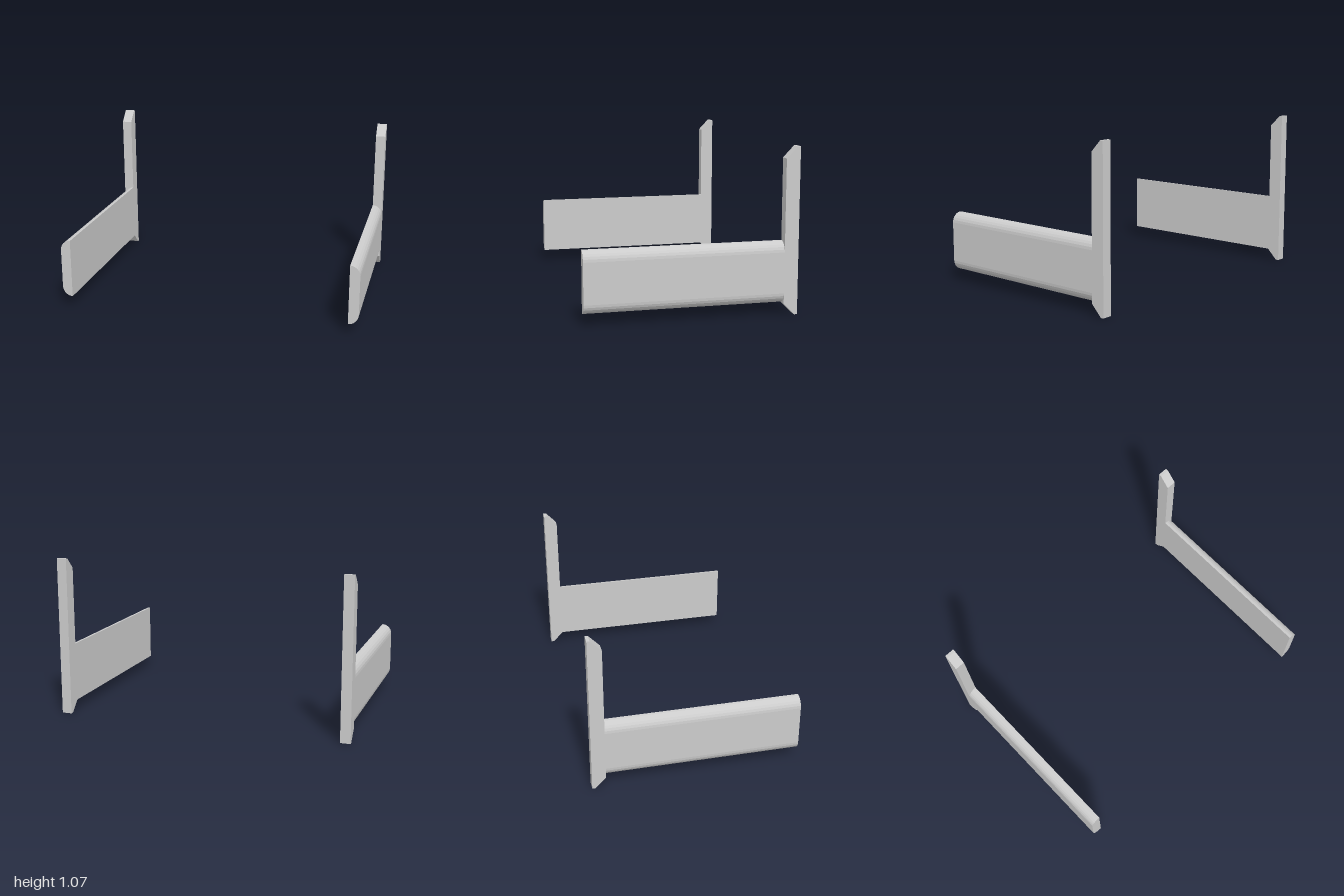
import * as THREE from 'three';

const material = new THREE.MeshStandardMaterial({ color: 0xcccccc, flatShading: true });
const INNER = 0.933, OUTER = 1, THICK = OUTER - INNER;
const FRONT = 0.68, JOINT = -0.59, BACK = -0.68;
const ARM_BOTTOM = 0.073, ARM_TOP = 0.47, TOP = 1.065;

// Horizontal arm: flat inner face, outer edges rounded over
function createArm(side) {
  const points = [];
  const steps = 6;
  for (const [centerY, start] of [[ARM_BOTTOM + THICK, -Math.PI / 2], [ARM_TOP - THICK, 0]]) {
    for (let i = 0; i <= steps; i++) {
      const a = start + (i / steps) * Math.PI / 2;
      points.push(new THREE.Vector2(side * (INNER + THICK * Math.cos(a)), centerY + THICK * Math.sin(a)));
    }
  }
  const geometry = new THREE.ExtrudeGeometry(new THREE.Shape(points), { depth: FRONT - JOINT, bevelEnabled: false });
  geometry.translate(0, 0, JOINT);
  const arm = new THREE.Mesh(geometry, material);
  arm.name = 'arm';
  return arm;
}

// Upright post: side outline with chamfered front corners, extruded across its thickness
function createPost(side) {
  const chamferZ = -0.66, chamferY = 0.073;
  const outline = [
    [BACK, 0], [chamferZ, 0], [JOINT, chamferY],
    [JOINT, TOP - chamferY], [chamferZ, TOP], [BACK, TOP],
  ].map(([z, y]) => new THREE.Vector2(-z, y));
  const geometry = new THREE.ExtrudeGeometry(new THREE.Shape(outline), { depth: THICK, bevelEnabled: false });
  geometry.rotateY(Math.PI / 2);
  geometry.translate(side > 0 ? INNER : -OUTER, 0, 0);
  const post = new THREE.Mesh(geometry, material);
  post.name = 'post';
  return post;
}

export function createModel() {
  const model = new THREE.Group();
  model.name = 'bracketPair';
  for (const side of [1, -1]) {
    const bracket = new THREE.Group();
    bracket.name = side > 0 ? 'leftBracket' : 'rightBracket';
    bracket.add(createArm(side), createPost(side));
    model.add(bracket);
  }
  return model;
}
